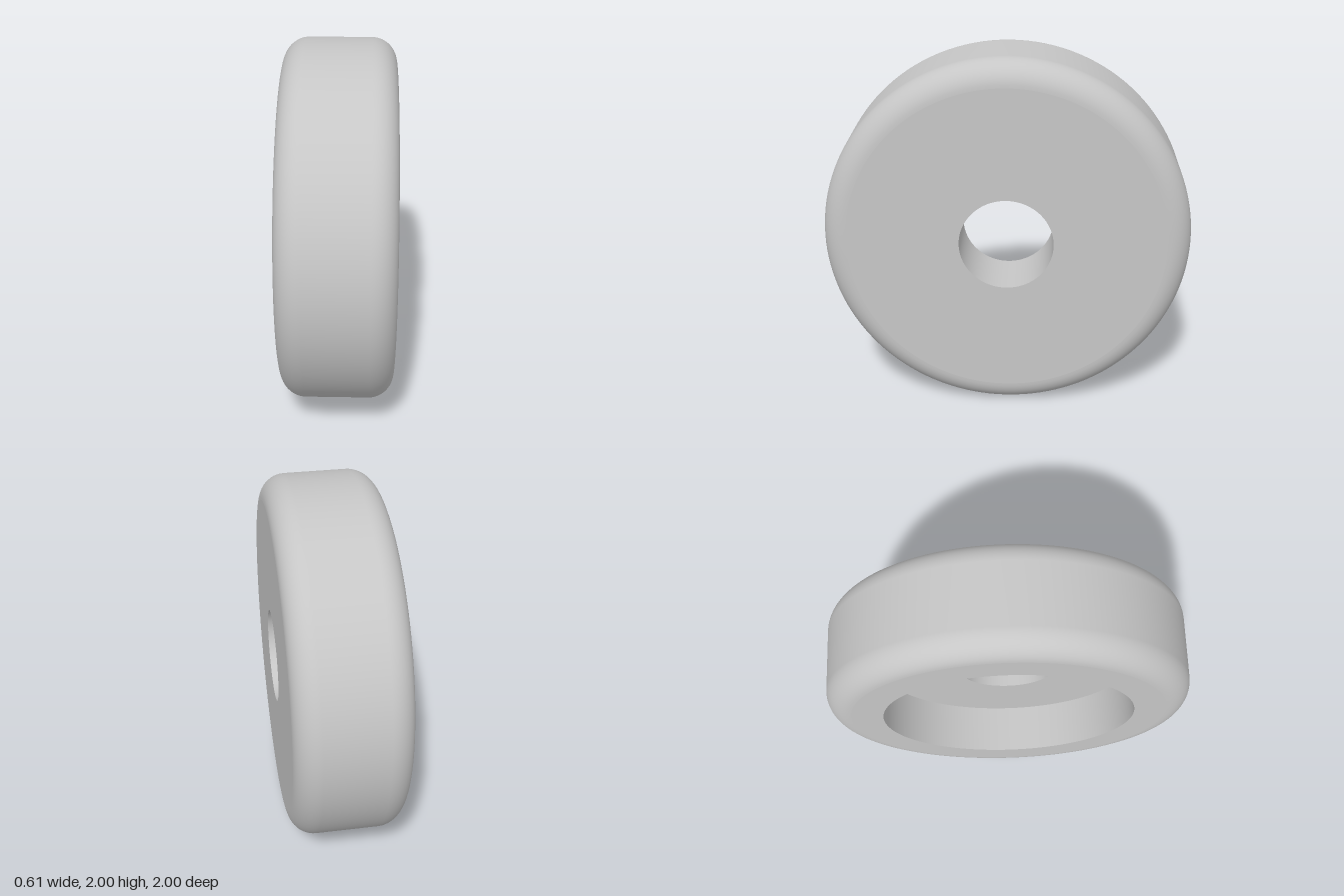
import * as THREE from 'three';

export function createModel() {
  const R = 1, HALF = 0.305, FILLET = 0.135; // overall wheel
  const BORE = 0.255, RECESS = 0.69, FLOOR = -0.037; // bore, recess radius, recess floor
  const STEPS = 12;

  const grey = new THREE.MeshStandardMaterial({ color: 0xc6c6c6 });
  grey.name = 'light grey';

  const wheel = new THREE.Group();
  wheel.name = 'wheel';

  // Each surface is turned from [radius, x] points; separate meshes keep edges sharp
  const turn = (name, points) => {
    const geometry = new THREE.LatheGeometry(points.map(([r, x]) => new THREE.Vector2(r, x)), 128);
    geometry.rotateZ(-Math.PI / 2); // lathe axis onto x
    const mesh = new THREE.Mesh(geometry, grey);
    mesh.name = name;
    wheel.add(mesh);
  };

  // Tread with a rounded shoulder on both sides
  const tread = [];
  for (const side of [-1, 1]) {
    for (let i = 0; i <= STEPS; i++) {
      const t = i / STEPS;
      const a = (side < 0 ? t - 1 : t) * Math.PI / 2;
      tread.push([R - FILLET + FILLET * Math.cos(a), side * (HALF - FILLET) + FILLET * Math.sin(a)]);
    }
  }
  turn('tread', tread);

  // Flat sides, bore and the recess on the right-hand (-x) side
  turn('outerFace', [[R - FILLET, HALF], [BORE, HALF]]);
  turn('axleBore', [[BORE, HALF], [BORE, FLOOR]]);
  turn('recessFloor', [[BORE, FLOOR], [RECESS, FLOOR]]);
  turn('recessWall', [[RECESS, FLOOR], [RECESS, -HALF]]);
  turn('innerRim', [[RECESS, -HALF], [R - FILLET, -HALF]]);

  wheel.position.y = R;
  const model = new THREE.Group();
  model.name = 'recessedWheel';
  model.add(wheel);
  return model;
}
